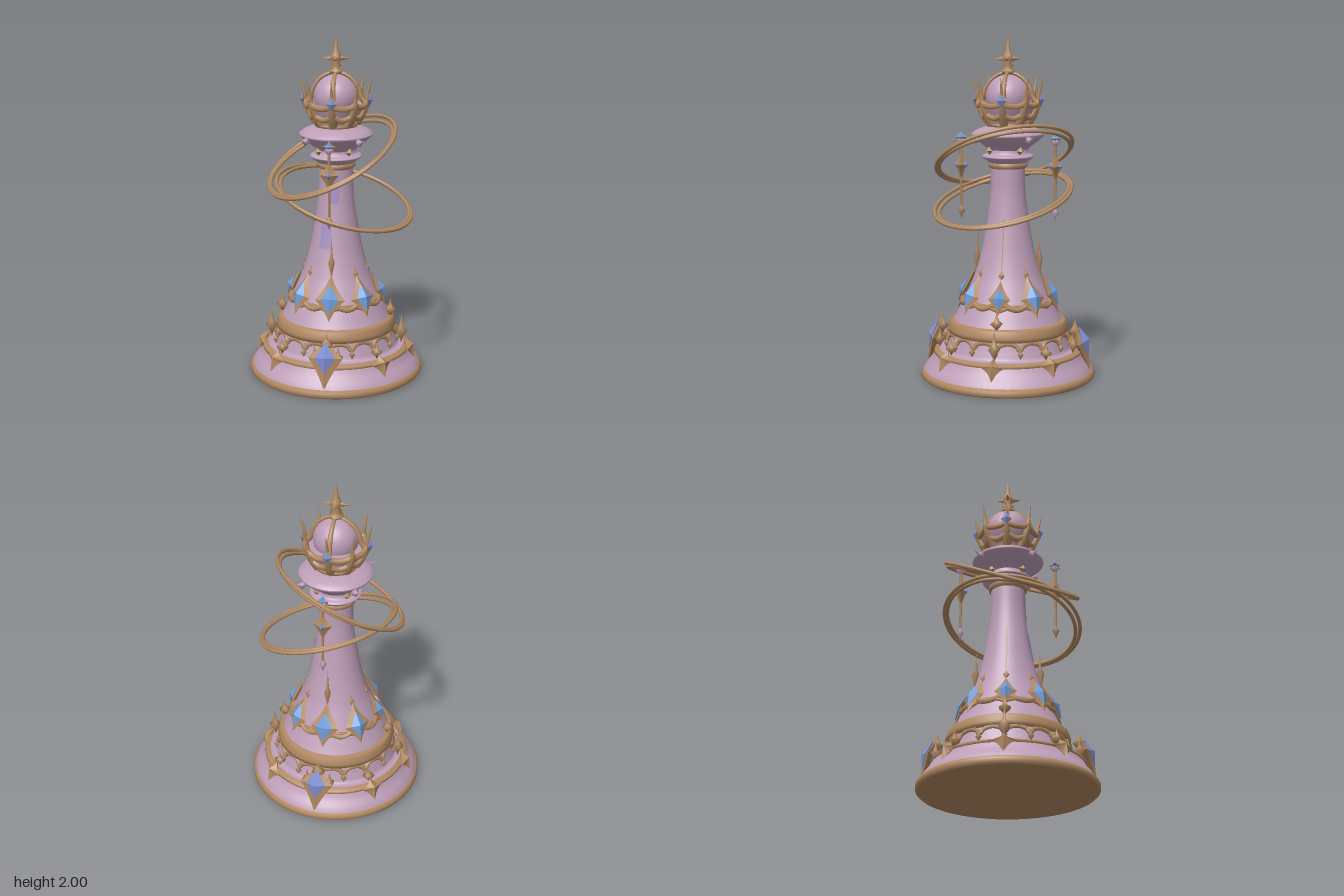
import * as THREE from 'three';

const mat = (name, color, side = THREE.FrontSide) => {
  const m = new THREE.MeshStandardMaterial({ color, side });
  m.name = name;
  return m;
};

export function createModel() {
  const root = new THREE.Group();
  root.name = 'chessPiece';
  const mauve = mat('mauve', 0xbd9eb7, THREE.DoubleSide);
  const gold = mat('gold', 0xb08861, THREE.DoubleSide);
  const blue = mat('blue', 0x6c9cd8);
  const periwinkle = mat('periwinkle', 0x7f8fd2);
  const lilac = mat('lilac', 0xa690c4);

  const add = (name, geo, m, parent = root) => {
    const mesh = new THREE.Mesh(geo, m);
    mesh.name = name;
    parent.add(mesh);
    return mesh;
  };
  const v2 = (pts) => pts.map(([r, y]) => new THREE.Vector2(r, y));
  const polar = (a, r, y) => new THREE.Vector3(r * Math.sin(a), y, r * Math.cos(a));
  const lathe = (name, pts, m, parent = root, seg = 64) => add(name, new THREE.LatheGeometry(v2(pts), seg), m, parent);
  // smooth turned surface through a few profile points
  const turned = (name, pts, m) =>
    lathe(name, new THREE.SplineCurve(v2(pts)).getPoints(pts.length * 5).map((p) => [p.x, p.y]), m);
  // group standing at an angle round the axis, leaning inward by tilt
  const mount = (name, a, r, y, tilt = 0) => {
    const g = new THREE.Group();
    g.name = name;
    g.position.copy(polar(a, r, y));
    g.rotation.order = 'YXZ';
    g.rotation.set(-tilt, a, 0);
    root.add(g);
    return g;
  };
  // pointed turned ornament, y measured from the bottom tip
  const spindle = (name, h, w, m, parent, y = 0, seg = 6) => {
    const s = lathe(name, [[0, 0], [w * 0.3, h * 0.2], [w, h * 0.42], [w * 0.45, h * 0.55], [w * 0.2, h * 0.75], [0, h]], m, parent, seg);
    s.position.y = y;
    return s;
  };
  // concave four-pointed star rising to a ridge d on both faces; bow sets how full the sides are
  const star = (w, up, down, d, parent, bow = 0.36) => {
    const s = new THREE.Shape();
    s.moveTo(0, up);
    s.quadraticCurveTo(-w * bow, up * bow, -w, 0);
    s.quadraticCurveTo(-w * bow, -down * bow, 0, -down);
    s.quadraticCurveTo(w * bow, -down * bow, w, 0);
    s.quadraticCurveTo(w * bow, up * bow, 0, up);
    const o = s.getPoints(5), pos = [];
    for (let i = 0; i < o.length - 1; i++) {
      const a = o[i], b = o[i + 1];
      pos.push(a.x, a.y, 0, b.x, b.y, 0, 0, 0, d, b.x, b.y, 0, a.x, a.y, 0, 0, 0, -d);
    }
    const geo = new THREE.BufferGeometry();
    geo.setAttribute('position', new THREE.Float32BufferAttribute(pos, 3));
    geo.computeVertexNormals();
    add('starFrame', geo, gold, parent);
  };
  const gem = (w, h, d, z, m, parent) => {
    const g = add('gem', new THREE.OctahedronGeometry(1), m, parent);
    g.scale.set(w, h, d);
    g.position.z = z;
  };
  // tube that tapers from r0 to r1
  const taper = (name, pts, r0, r1) => {
    const curve = new THREE.CatmullRomCurve3(pts), seg = 20, rad = 7;
    const geo = new THREE.TubeGeometry(curve, seg, r0, rad);
    const p = geo.attributes.position, v = new THREE.Vector3();
    for (let i = 0; i <= seg; i++) {
      const c = curve.getPointAt(i / seg), k = 1 + (r1 / r0 - 1) * (i / seg);
      for (let j = 0; j <= rad; j++) {
        const n = i * (rad + 1) + j;
        v.fromBufferAttribute(p, n).sub(c).multiplyScalar(k).add(c);
        p.setXYZ(n, v.x, v.y, v.z);
      }
    }
    geo.computeVertexNormals();
    add(name, geo, gold);
  };
  // closed wavy trim round the axis
  const trim = (name, yAt, rAt, thick) => {
    const pts = [];
    for (let i = 0; i < 128; i++) {
      const a = (i / 128) * Math.PI * 2, y = yAt(a);
      pts.push(polar(a, rAt(y), y));
    }
    add(name, new THREE.TubeGeometry(new THREE.CatmullRomCurve3(pts, true), 256, thick, 6, true), gold);
  };
  const EIGHTH = Math.PI / 4;

  // stepped base
  lathe('baseRim', [[0, 0], [0.5, 0], [0.513, 0.012], [0.513, 0.035], [0.5, 0.05], [0.48, 0.05]], gold);
  turned('baseSkirt', [[0.498, 0.048], [0.482, 0.075], [0.45, 0.115], [0.428, 0.155]], mauve);
  lathe('baseBand', [[0.425, 0.145], [0.438, 0.15], [0.434, 0.165], [0.405, 0.172]], gold);
  turned('baseDrum', [[0.41, 0.17], [0.375, 0.176], [0.36, 0.21], [0.348, 0.25], [0.338, 0.285]], mauve);
  lathe('drumBand', [[0.33, 0.27], [0.352, 0.276], [0.354, 0.3], [0.345, 0.335], [0.335, 0.345], [0.305, 0.348]], gold);

  // stem
  const stem = [[0.318, 0.345], [0.295, 0.39], [0.262, 0.46], [0.225, 0.54], [0.192, 0.62], [0.158, 0.74], [0.132, 0.87], [0.112, 1.0], [0.101, 1.12], [0.1, 1.25]];
  turned('stem', stem, mauve);
  const stemR = (y) => {
    const i = Math.max(1, stem.findIndex((q) => q[1] >= y));
    const [a, b] = [stem[i - 1], stem[i]];
    return a[0] + ((b[0] - a[0]) * (y - a[1])) / (b[1] - a[1]);
  };
  // thin coloured inlays lying on the stem
  const inlay = (name, a, width, y0, y1, m) => {
    const pts = [];
    for (let i = 0; i <= 8; i++) pts.push([stemR(y0 + ((y1 - y0) * i) / 8) + 0.003, y0 + ((y1 - y0) * i) / 8]);
    add(name, new THREE.LatheGeometry(v2(pts), 8, a - width / 2, width), m);
  };
  inlay('stemInlay', -0.3, 0.5, 0.78, 0.95, lilac);
  inlay('stemInlay', 0, 0.6, 1.04, 1.2, lilac);
  for (const a of [Math.PI / 2, -Math.PI / 2]) inlay('stemLine', a, 0.05, 0.64, 0.95, gold);

  // neck and wide collar
  lathe('neckRing', [[0.098, 1.235], [0.112, 1.245], [0.114, 1.265], [0.1, 1.275]], gold);
  turned('neckFlare', [[0.1, 1.26], [0.115, 1.275], [0.148, 1.3], [0.145, 1.312], [0.122, 1.325], [0.115, 1.35]], mauve);
  turned('collar', [[0.115, 1.345], [0.135, 1.365], [0.175, 1.395], [0.208, 1.425], [0.212, 1.437]], mauve);
  turned('collarTop', [[0.212, 1.437], [0.19, 1.455], [0.15, 1.472], [0.1, 1.485]], mauve);
  for (let k = 1; k < 8; k += 2) {
    star(0.028, 0.03, 0.035, 0.02, mount('collarStud', k * EIGHTH, 0.128, 1.345, -0.25));
    spindle('spike', 0.09, 0.024, mauve, mount('collarSpike', k * EIGHTH, 0.18, 1.4, -1.25));
  }

  // large front and back diamonds, star drops and posts on the base
  for (let k = 0; k < 8; k++) {
    const a = k * EIGHTH;
    if (k % 4 === 0) {
      const g = mount('baseDiamond', a, 0.435, 0.22, 0.33);
      star(0.1, 0.12, 0.185, 0.04, g, 0.4);
      gem(0.058, 0.092, 0.034, 0.02, periwinkle, g);
      spindle('finial', 0.13, 0.04, gold, mount('baseDiamondFinial', a, 0.4, 0.23));
      for (const s of [-1, 1]) spindle('wing', 0.13, 0.03, gold, mount('diamondWing', a + s * 0.17, 0.405, 0.16));
    } else {
      star(0.075, 0.06, 0.1, 0.035, mount('starDrop', a, 0.435, 0.155, 0.45), 0.2);
      spindle('post', k % 2 ? 0.1 : 0.19, 0.036, gold, mount('basePost', a, 0.392, 0.17));
    }
    if (k % 4 === 2) spindle('drumFinial', 0.12, 0.038, gold, mount('drumFinialMount', a, 0.325, 0.33));
  }

  // arcade under the drum band
  const drumR = (y) => 0.37 - (y - 0.175) * 0.3;
  trim('arcade', (a) => 0.228 + 0.042 * Math.sqrt(Math.abs(Math.sin(a * 8))), drumR, 0.014);
  for (let k = 0; k < 16; k++) spindle('arcadePendant', 0.08, 0.018, gold, mount('pendantMount', (k * Math.PI) / 8, 0.366, 0.178));

  // ring of jewelled diamonds round the foot of the stem
  trim('swagUpper', (a) => 0.5 - 0.05 * Math.abs(Math.sin(a * 4)), (y) => stemR(y) + 0.003, 0.016);
  trim('swagLower', (a) => 0.44 + 0.025 * Math.abs(Math.sin(a * 4)), (y) => stemR(y) + 0.001, 0.011);
  for (let k = 0; k < 8; k++) {
    const main = k % 4 === 0, a = k * EIGHTH, s = main ? 1 : k % 2 ? 0.95 : 0.75;
    const g = mount('stemDiamond', a, stemR(0.5) + 0.01, 0.505, 0.42);
    star(0.088 * s, 0.15 * s, 0.125 * s, 0.03, g, 0.38);
    gem(0.052 * s, 0.085 * s, 0.026, 0.016, blue, g);
    spindle('stemSpike', main ? 0.28 : 0.1, 0.02, gold, mount('stemSpikeMount', a, main ? 0.193 : 0.195, 0.59, main ? 0.05 : 0.25));
    spindle('swagPoint', 0.11, 0.02, gold, mount('swagPointMount', a + EIGHTH / 2, stemR(0.46), 0.41, 0.42));
  }

  // hanging pendants front and back
  for (const a of [0, Math.PI]) {
    const g = mount('hangingPendant', a, 0.28, 0);
    add('rod', new THREE.CylinderGeometry(0.009, 0.007, 0.38, 6), gold, g).position.y = 1.2;
    spindle('topDrop', 0.1, 0.032, mauve, g, 1.35);
    const top = mount('topJewel', a, 0.28, 1.412);
    star(0.042, 0.03, 0.04, 0.02, top, 0.25);
    gem(0.024, 0.03, 0.032, 0, blue, top);
    spindle('bottomDrop', 0.12, 0.022, a ? mauve : gold, g, 0.93);
    const jewel = mount('pendantJewel', a, 0.28, 1.25);
    star(0.055, 0.085, 0.1, 0.03, jewel);
    gem(0.032, 0.048, 0.042, 0, periwinkle, jewel);
  }

  // paired orbit rings
  const orbit = (x, y, z, n, r) => {
    const ring = add('orbitRing', new THREE.TorusGeometry(r, 0.011, 8, 96), gold);
    ring.position.set(x, y, z);
    ring.quaternion.setFromUnitVectors(new THREE.Vector3(0, 0, 1), new THREE.Vector3(...n).normalize());
  };
  orbit(-0.022, 1.305, 0.025, [-0.4, 0.87, 0.28], 0.405);
  orbit(-0.025, 1.295, 0.025, [-0.38, 0.88, 0.25], 0.388);
  orbit(0.052, 1.065, 0.02, [0.28, 0.95, 0.14], 0.405);
  orbit(0.055, 1.06, 0.015, [0.26, 0.95, 0.17], 0.385);

  // orb and crown
  lathe('crownBase', [[0.1, 1.475], [0.122, 1.48], [0.125, 1.495], [0.112, 1.505], [0.128, 1.52], [0.136, 1.54], [0.12, 1.55]], gold);
  turned('crownCup', [[0.115, 1.5], [0.14, 1.55], [0.16, 1.595], [0.15, 1.61], [0.115, 1.61]], mauve);
  add('orb', new THREE.SphereGeometry(0.128, 40, 28), mauve).position.y = 1.65;
  trim('crownLattice', (a) => 1.625 - 0.024 * Math.sqrt(Math.abs(Math.sin(a * 4))), (y) => 0.175 - (1.615 - y) * 0.4, 0.017);
  trim('crownLowerLattice', (a) => 1.555 - 0.022 * Math.abs(Math.sin(a * 4)), (y) => 0.153 - (1.555 - y) * 0.6, 0.016);
  const bent = (a, pts) => pts.map(([r, y]) => polar(a, r, y));
  for (let k = 0; k < 8; k++) {
    const a = k * EIGHTH;
    taper('crownSpike', bent(a, [[0.115, 1.5], [0.15, 1.55], [0.176, 1.61], [0.183, 1.67], [0.207, 1.765]]), 0.028, 0.001);
    if (k % 2 === 0) {
      taper('crownRib', bent(a, [[0.175, 1.605], [0.146, 1.645], [0.13, 1.695], [0.09, 1.752], [0.04, 1.782], [0, 1.788]]), 0.018, 0.01);
      const g = mount('crownJewel', a, 0.187, 1.635);
      star(0.034, 0.06, 0.06, 0.014, g);
      gem(0.026, 0.04, 0.018, 0.006, periwinkle, g);
    }
  }

  // finial with four-pointed star
  lathe('finial', [[0, 1.77], [0.035, 1.785], [0.042, 1.8], [0.018, 1.812], [0.034, 1.825], [0.018, 1.84], [0.034, 1.865], [0.028, 1.885], [0.016, 1.91], [0.01, 1.95], [0, 2.0]], gold, root, 10);
  for (let k = 0; k < 4; k++) {
    const tip = add('finialPoint', new THREE.ConeGeometry(0.022, 0.08, 6), gold, mount('finialPointMount', k * Math.PI / 2, 0.04, 1.868));
    tip.rotation.x = Math.PI / 2;
  }

  return root;
}
